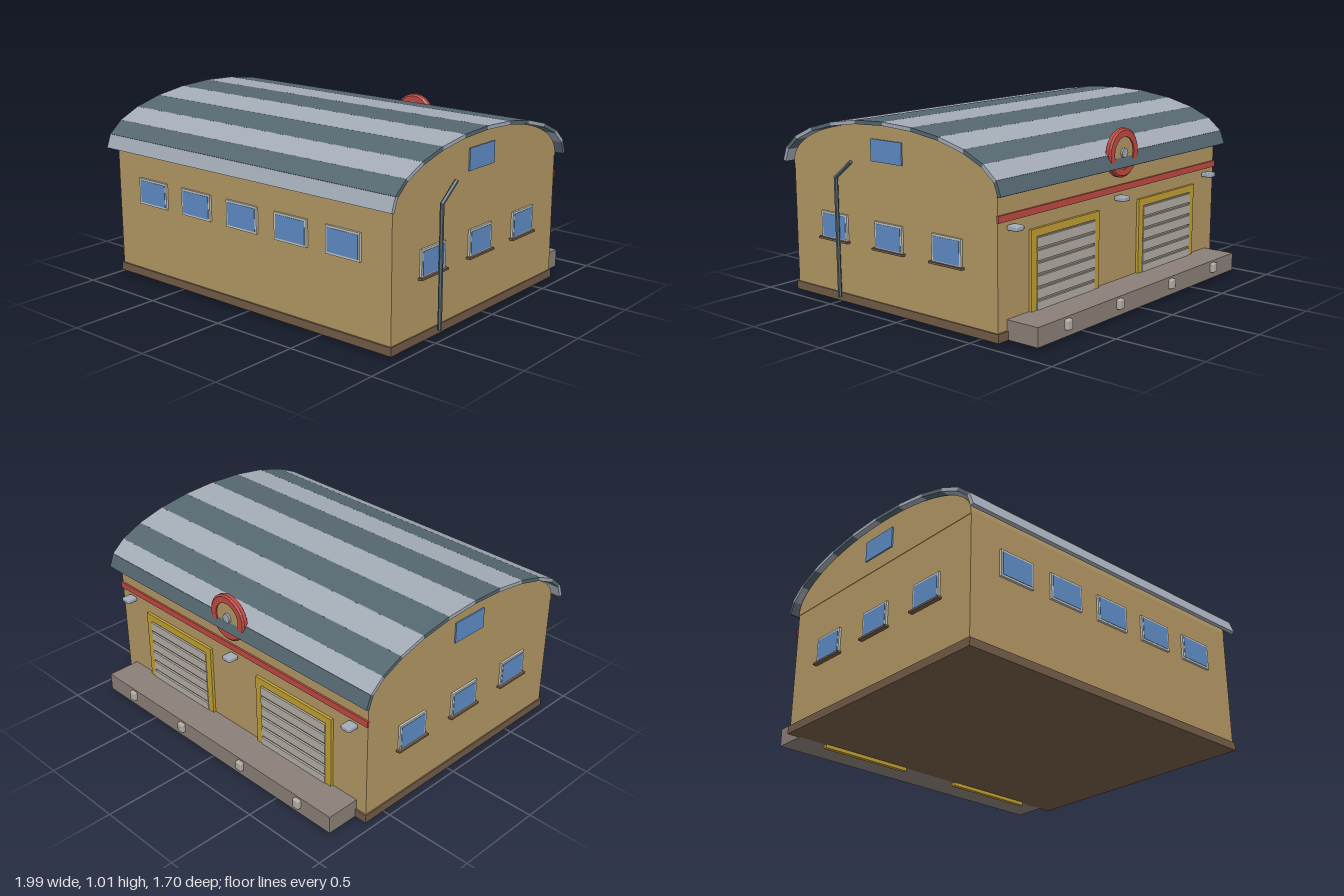
import * as THREE from 'three';
import { RoundedBoxGeometry } from 'three/addons/geometries/RoundedBoxGeometry.js';

const mat = (name, color, flat = false) => {
  const m = new THREE.MeshStandardMaterial({ color, flatShading: flat });
  m.name = name;
  return m;
};

export function createModel() {
  const M = {
    wall: mat('tan wall', 0xb39764),
    brown: mat('brown base', 0x725c47),
    roofLight: mat('light roof metal', 0xa3abb6),
    roofDark: mat('dark roof metal', 0x556770, true),
    glass: mat('blue glass', 0x5f8cc6),
    frame: mat('pale frame', 0xc6c6be),
    red: mat('red paint', 0xc04a42, true),
    yellow: mat('yellow frame', 0xc2a034),
    concrete: mat('concrete', 0x8b8078),
    slat: mat('door slat', 0xb4aea6),
  };
  const model = new THREE.Group();
  model.name = 'warehouse';
  // everything is built around the middle of the hall
  model.position.set(-0.005, 0, 0.08);

  const add = (name, geo, material, x = 0, y = 0, z = 0, parent = model) => {
    const m = new THREE.Mesh(geo, material);
    m.name = name;
    m.position.set(x, y, z);
    parent.add(m);
    return m;
  };
  const box = (name, w, h, d, material, x, y, z, parent) =>
    add(name, new THREE.BoxGeometry(w, h, d), material, x, y, z, parent);

  // hall and base
  box('walls', 1.92, 0.68, 1.44, M.wall, 0, 0.39, 0);
  box('plinth', 1.935, 0.045, 1.46, M.brown, 0, 0.0425, 0);

  // rounded gable under the roof
  const arch = new THREE.Shape();
  arch.moveTo(-0.72, 0.72);
  arch.lineTo(0.72, 0.72);
  arch.lineTo(0.72, 0.735);
  arch.absellipse(0, 0.735, 0.72, 0.255, 0, Math.PI, false);
  arch.lineTo(-0.72, 0.72);
  const gable = add('gable', new THREE.ExtrudeGeometry(arch, { depth: 1.926, bevelEnabled: false, curveSegments: 16 }),
    M.wall, -0.963, 0, 0);
  gable.rotation.y = Math.PI / 2;

  // arched roof of twelve alternating panels
  const roof = new THREE.Group();
  roof.name = 'roof';
  model.add(roof);
  const arc = (i) => {
    const a = (i * Math.PI) / 12;
    return [0.762 * Math.cos(a), 0.735 + 0.267 * Math.sin(a)];
  };
  for (let i = 0; i < 12; i++) {
    const [z0, y0] = arc(i), [z1, y1] = arc(i + 1);
    const panel = box('roofPanel', 1.99, 0.02, Math.hypot(z1 - z0, y1 - y0) + 0.004,
      i % 2 ? M.roofDark : M.roofLight, 0, (y0 + y1) / 2, (z0 + z1) / 2, roof);
    panel.rotation.x = Math.atan2(y1 - y0, z0 - z1);
  }

  // a window faces +z in its own space
  const makeWindow = (w, h, sill) => {
    const g = new THREE.Group();
    g.name = 'window';
    box('windowFrame', w, h, 0.024, M.frame, 0, 0, 0, g);
    box('windowGlass', w - 0.022, h - 0.022, 0.006, M.glass, 0, 0, 0.011, g);
    if (sill) box('windowSill', w + 0.025, 0.011, 0.04, M.brown, 0, -h / 2, 0.005, g);
    model.add(g);
    return g;
  };
  for (let i = -2; i <= 2; i++) makeWindow(0.215, 0.145, false).position.set(i * 0.336, 0.52, 0.721);
  for (const s of [-1, 1]) {
    for (const z of [0.405, 0, -0.4]) {
      const w = makeWindow(0.195, 0.145, true);
      w.position.set(s * 0.96, 0.42, z);
      w.rotation.y = (s * Math.PI) / 2;
    }
    box('gableWindow', 0.009, 0.115, 0.22, M.glass, s * 0.966, 0.8575, 0.005);
  }

  // drainpipe on the end wall
  const path = [[0.985, 0.05, 0.362], [0.985, 0.69, 0.365], [0.985, 0.78, 0.25]].map((p) => new THREE.Vector3(...p));
  for (let i = 0; i < 2; i++) {
    const dir = path[i + 1].clone().sub(path[i]);
    const pipe = add('drainpipe', new THREE.CylinderGeometry(0.011, 0.011, dir.length() + 0.008, 6), M.roofDark);
    pipe.position.copy(path[i]).addScaledVector(dir, 0.5);
    pipe.quaternion.setFromUnitVectors(new THREE.Vector3(0, 1, 0), dir.normalize());
  }

  // loading doors at the back
  for (const x of [-0.455, 0.455]) {
    const door = new THREE.Group();
    door.name = 'loadingDoor';
    door.position.x = x;
    model.add(door);
    box('doorFrameBottom', 0.55, 0.04, 0.025, M.yellow, 0, 0.02, -0.7235, door);
    box('doorFrameTop', 0.55, 0.04, 0.025, M.yellow, 0, 0.51, -0.7235, door);
    for (const s of [-1, 1]) box('doorFrameSide', 0.04, 0.45, 0.025, M.yellow, s * 0.255, 0.265, -0.7235, door);
    box('doorPanel', 0.47, 0.45, 0.02, M.concrete, 0, 0.265, -0.719, door);
    for (let i = 0; i < 7; i++) box('doorSlat', 0.47, 0.05, 0.018, M.slat, 0, 0.072 + i * 0.0643, -0.731, door);
  }

  // loading platform with bumpers
  box('platform', 1.79, 0.1, 0.19, M.concrete, 0, 0.07, -0.815);
  for (const x of [-0.67, -0.24, 0.24, 0.67])
    add('bumper', new RoundedBoxGeometry(0.045, 0.055, 0.04, 1, 0.009), M.slat, x, 0.082, -0.912);

  // red band and wall lamps
  box('redBand', 1.93, 0.035, 0.012, M.red, 0, 0.618, -0.724);
  for (const x of [-0.865, 0, 0.865])
    add('wallLamp', new RoundedBoxGeometry(0.06, 0.027, 0.064, 1, 0.008), M.roofLight, x, 0.568, -0.75);

  // round emblem plate on the back edge of the roof
  const wheel = new THREE.Group();
  wheel.name = 'wheel';
  wheel.position.set(0, 0.81, -0.742);
  wheel.rotation.x = Math.PI / 2;
  model.add(wheel);
  const ring = [[0.085, -0.018], [0.12, -0.018], [0.13, -0.01], [0.13, 0.01], [0.12, 0.018], [0.085, 0.018], [0.085, -0.018]];
  add('wheelRing', new THREE.LatheGeometry(ring.map((p) => new THREE.Vector2(...p)), 24), M.red, 0, 0, 0, wheel);
  add('wheelDisc', new THREE.CylinderGeometry(0.087, 0.087, 0.022, 24), M.wall, 0, 0, 0, wheel);
  add('wheelHub', new THREE.CylinderGeometry(0.026, 0.026, 0.046, 12), M.roofLight, 0, 0, 0, wheel);

  return model;
}
